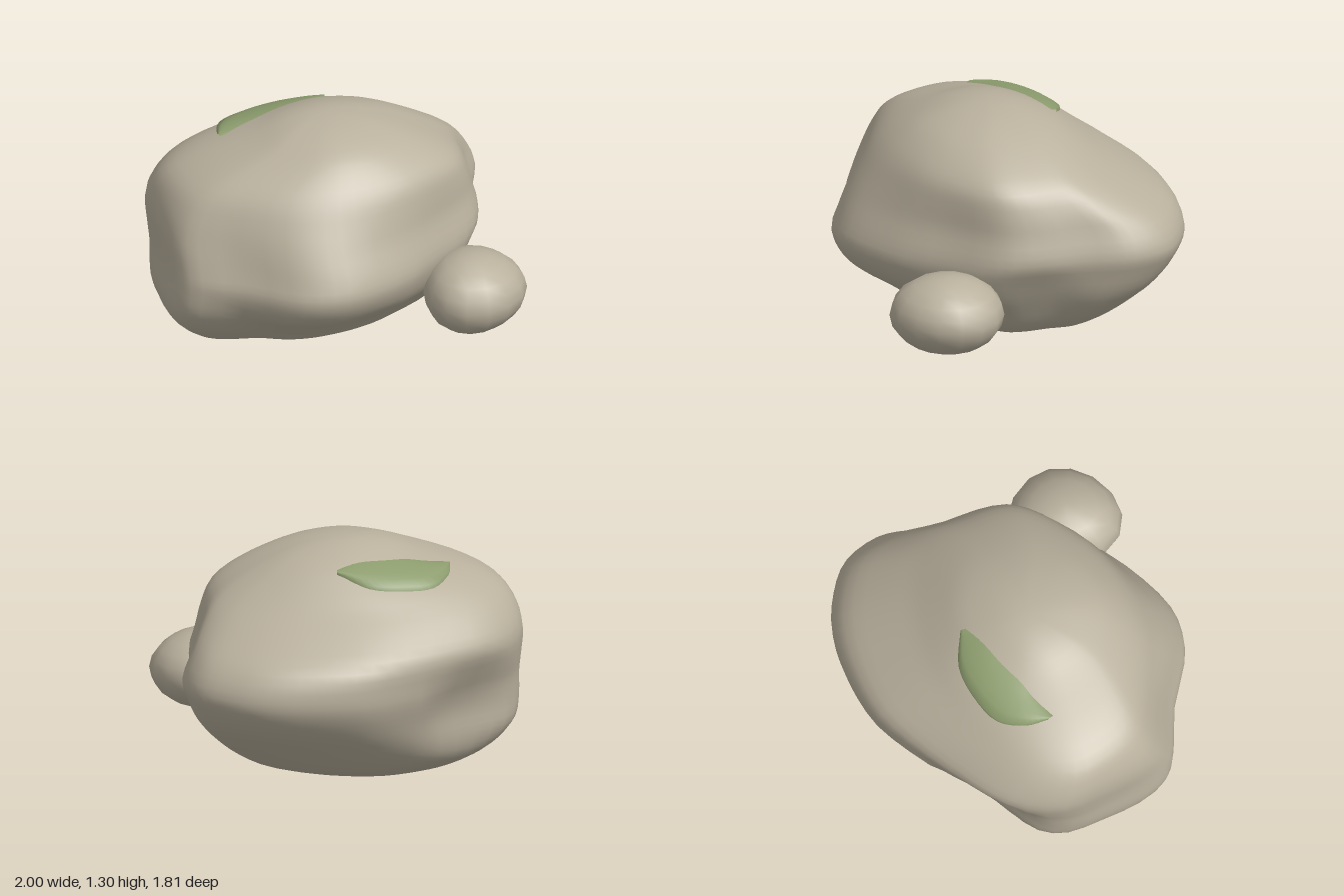
import * as THREE from 'three';
import { mergeVertices } from 'three/addons/utils/BufferGeometryUtils.js';

const V = (x, y, z) => new THREE.Vector3(x, y, z);

// Widest horizontal outline of the boulder [x, z], from -x round by +z
const OUTLINE = [
  [-1, 0], [-0.98, 0.2], [-0.94, 0.42], [-0.88, 0.57], [-0.78, 0.65], [-0.55, 0.73], [-0.32, 0.86],
  [-0.16, 0.9], [0, 0.885], [0.18, 0.8], [0.38, 0.66], [0.55, 0.47], [0.7, 0.32], [0.78, 0.18],
  [0.795, 0], [0.79, -0.2], [0.825, -0.38], [0.83, -0.5], [0.79, -0.64], [0.72, -0.74], [0.6, -0.82],
  [0.46, -0.88], [0.3, -0.905], [0.15, -0.9], [0, -0.88], [-0.17, -0.83], [-0.35, -0.72],
  [-0.57, -0.56], [-0.79, -0.4], [-0.93, -0.21],
];

// Extents of each level, top to bottom: y, xMin, xMax, zMin, zMax
const LEVELS = [
  [1.305, -0.05, -0.05, 0.06, 0.06], [1.298, -0.16, 0.07, -0.03, 0.17], [1.27, -0.29, 0.22, -0.14, 0.31],
  [1.21, -0.45, 0.39, -0.28, 0.46], [1.12, -0.72, 0.57, -0.41, 0.58], [1.03, -0.89, 0.69, -0.53, 0.66],
  [0.92, -0.97, 0.75, -0.7, 0.73], [0.8, -1, 0.79, -0.86, 0.8], [0.66, -0.99, 0.83, -0.905, 0.87],
  [0.55, -0.98, 0.8, -0.88, 0.9], [0.42, -0.98, 0.75, -0.79, 0.83], [0.3, -0.96, 0.67, -0.67, 0.66],
  [0.2, -0.88, 0.57, -0.56, 0.52], [0.12, -0.77, 0.43, -0.45, 0.42], [0.05, -0.62, 0.16, -0.29, 0.29],
  [0.012, -0.46, -0.17, -0.12, 0.13], [0, -0.34, -0.34, 0, 0],
];

// Soft local pushes: centre, radius, offset
const PUSHES = [
  [V(-0.75, 0.45, -0.42), 0.4, V(0.07, 0, 0.07)], // hollow under the back ridge
  [V(0.75, 0.36, 0.08), 0.36, V(-0.05, 0, -0.01)], // valley on the left flank
  [V(-0.75, 0.24, 0.36), 0.45, V(-0.02, -0.01, 0.11)], // low front corner lump
];

// Smooth closed skin: the outline, rounder towards top and bottom, fitted to every level
function boulderGeometry() {
  const cols = 60, rows = 48;
  const ring = new THREE.CatmullRomCurve3(OUTLINE.map(([x, z]) => V(x, 0, z)), true, 'catmullrom');
  const xs = new THREE.CatmullRomCurve3(LEVELS.map((l) => V(l[1], l[0], l[2])), false, 'catmullrom');
  const zs = new THREE.CatmullRomCurve3(LEVELS.map((l) => V(l[3], l[0], l[4])), false, 'catmullrom');
  const { mapLinear, lerp, smoothstep } = THREE.MathUtils;
  const sphere = new THREE.SphereGeometry(1, cols, rows);
  const pos = sphere.attributes.position;
  for (let i = 0; i < pos.count; i++) {
    const row = Math.floor(i / (cols + 1)), col = i % (cols + 1);
    const o = ring.getPoint((col % cols) / cols);
    const ex = xs.getPoint(row / rows), ez = zs.getPoint(row / rows);
    const u = mapLinear(o.x, -1, 0.83, -1, 1), w = mapLinear(o.z, -0.905, 0.9, -1, 1);
    const round = 0.65 * smoothstep(ex.y, 0.65, 1.15) + 0.35 * (1 - smoothstep(ex.y, 0.05, 0.5));
    const k = lerp(1, 1 / Math.hypot(u, w), round);
    const start = V(mapLinear(u * k, -1, 1, ex.x, ex.z), ex.y, mapLinear(w * k, -1, 1, ez.x, ez.z));
    const p = start.clone();
    for (const [c, r, off] of PUSHES) {
      const d = Math.min(1, start.distanceTo(c) / r);
      p.addScaledVector(off, (1 - d * d) ** 2);
    }
    pos.setXYZ(i, p.x, Math.max(0, p.y), p.z);
  }
  return weld(sphere);
}

// Join the seam and poles so normals are smooth all round
function weld(geometry) {
  geometry.deleteAttribute('uv');
  geometry.deleteAttribute('normal');
  const g = mergeVertices(geometry, 1e-4);
  g.computeVertexNormals();
  return g;
}

// Small egg-like stone, slightly skewed
function pebbleGeometry() {
  const g = new THREE.SphereGeometry(1, 14, 10);
  const pos = g.attributes.position;
  for (let i = 0; i < pos.count; i++) {
    const x = pos.getX(i), y = pos.getY(i), z = pos.getZ(i);
    const taper = 1 - 0.1 * x;
    pos.setXYZ(i, 0.28 * x - 0.02 * z, 0.215 * y * taper, 0.305 * z * taper);
  }
  return weld(g);
}

// Crescent cushion that follows the boulder and thickens to its outer edge
function mossGeometry(boulder) {
  const curve = (pts) => new THREE.CatmullRomCurve3(pts.map(([x, z]) => V(x, 0, z)));
  const outer = curve([[-0.61, 0], [-0.6, -0.12], [-0.52, -0.26], [-0.35, -0.34], [-0.17, -0.365], [0, -0.3]]);
  const inner = curve([[-0.6, 0.03], [-0.47, -0.04], [-0.38, -0.07], [-0.25, -0.14], [-0.11, -0.2], [0, -0.27]]);
  const ray = new THREE.Raycaster();
  const lift = [-0.004, 0.01, 0.018, 0.026, 0.03, 0.026, -0.02];
  const n = 20, rows = lift.length - 1;
  const g = new THREE.PlaneGeometry(1, 1, n, rows);
  const pos = g.attributes.position;
  for (let i = 0; i < pos.count; i++) {
    const row = Math.floor(i / (n + 1)), t = (i % (n + 1)) / n;
    const p = inner.getPoint(t).lerp(outer.getPoint(t), Math.min(1, row / (rows - 1)));
    ray.set(V(p.x, 3, p.z), V(0, -1, 0));
    const ground = ray.intersectObject(boulder)[0].point.y;
    const fade = 0.4 + 0.6 * Math.sin(Math.PI * t);
    pos.setXYZ(i, p.x, ground + lift[row] * fade, p.z);
  }
  g.computeVertexNormals();
  return g;
}

export function createModel() {
  const stone = new THREE.MeshStandardMaterial({ color: 0xb9b09d });
  stone.name = 'stone';
  const green = new THREE.MeshStandardMaterial({ color: 0x8d9d6e, side: THREE.DoubleSide });
  green.name = 'mossGreen';

  const group = new THREE.Group();
  group.name = 'mossyBoulder';
  const add = (name, geometry, material) => {
    const mesh = new THREE.Mesh(geometry, material);
    mesh.name = name;
    group.add(mesh);
    return mesh;
  };

  const boulder = add('boulder', boulderGeometry(), stone);
  boulder.updateMatrixWorld();
  add('pebble', pebbleGeometry(), stone).position.set(0.72, 0.41, 0.515);
  add('mossPatch', mossGeometry(boulder), green);
  return group;
}
